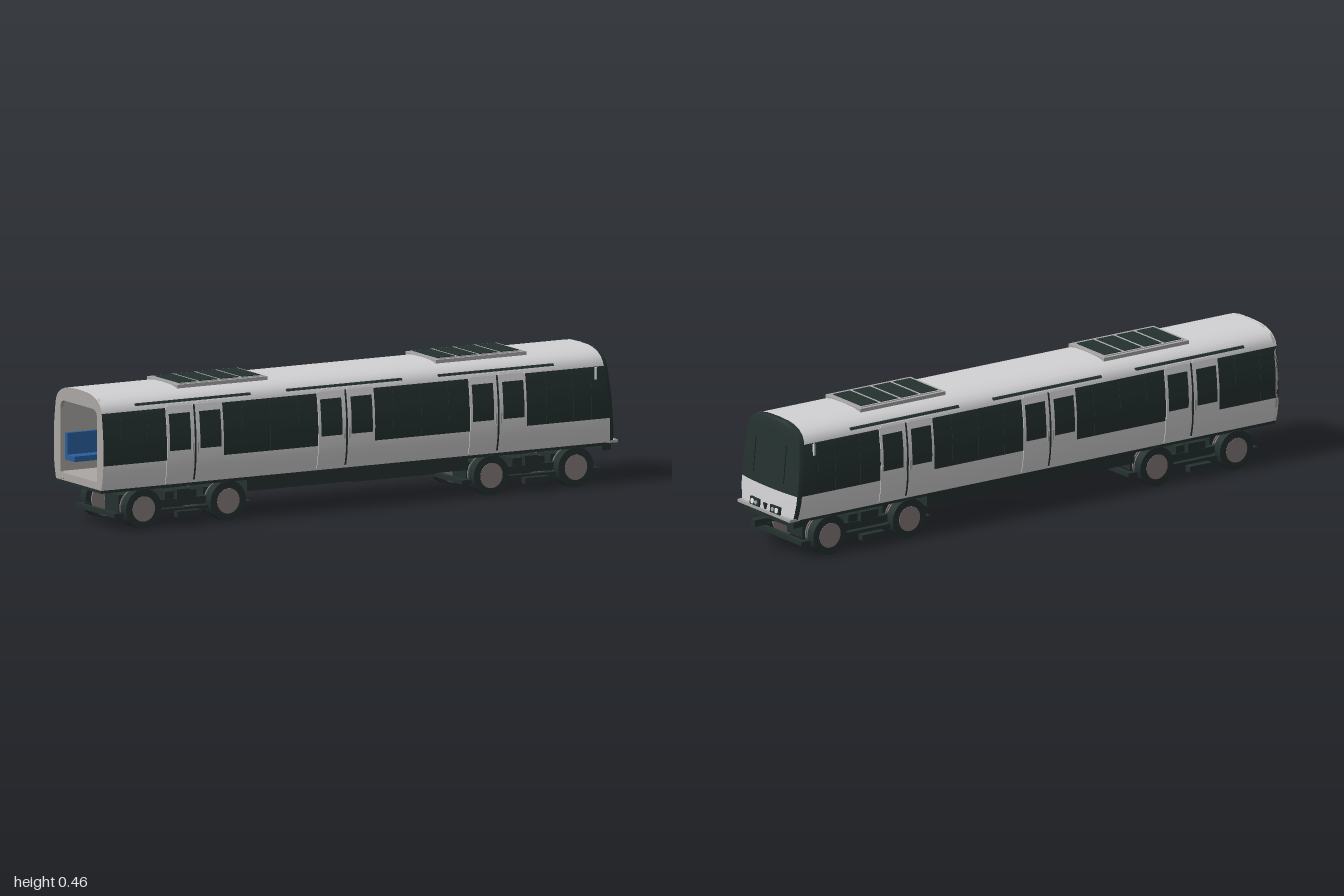
import * as THREE from 'three';

const mat = (name, color, side = THREE.FrontSide) => {
  const m = new THREE.MeshStandardMaterial({ color, side });
  m.name = name;
  return m;
};

// half cross-section of the body, [half width, height], bottom to roof ridge
const HALF = [[0.148, 0.14], [0.155, 0.165], [0.16, 0.195], [0.162, 0.223], [0.163, 0.285], [0.16, 0.33],
  [0.154, 0.375], [0.151, 0.396], [0.146, 0.412], [0.136, 0.426], [0.118, 0.439], [0.09, 0.449], [0.06, 0.454], [0, 0.456]];
const BAND_LOW = 3, BAND_HIGH = 7;
const SECTION = [...HALF, ...HALF.slice(0, -1).reverse().map(([z, y]) => [-z, y])];

function halfWidth(y) {
  let i = 0;
  while (i < HALF.length - 2 && HALF[i + 1][1] < y) i++;
  const [a, b] = [HALF[i], HALF[i + 1]];
  return a[0] + (b[0] - a[0]) * (y - a[1]) / (b[1] - a[1]);
}
const noseEdge = y => 0.925 - 0.095 * (y - 0.14);
const frontX = (y, z) => noseEdge(y) + 0.015 + 0.01 * (1 - (z / 0.16) ** 2);

// surface over a grid of points; each row strip gets its own material index
function gridGeometry(cols, rows, point, materialOf) {
  const pos = [], index = [], geo = new THREE.BufferGeometry();
  for (let r = 0; r < rows; r++) for (let c = 0; c < cols; c++) pos.push(...point(c, r));
  for (let r = 0; r < rows - 1; r++) {
    for (let c = 0; c < cols - 1; c++) {
      const a = r * cols + c, b = a + cols;
      geo.addGroup(index.length, 6, materialOf(r, c));
      index.push(a, a + 1, b + 1, a, b + 1, b);
    }
  }
  geo.setAttribute('position', new THREE.Float32BufferAttribute(pos, 3));
  geo.setIndex(index);
  geo.computeVertexNormals();
  return geo;
}

export function createModel() {
  const model = new THREE.Group();
  model.name = 'railCar';
  const pale = mat('paleBody', 0xd2d2d4);
  const dark = mat('darkGlass', 0x24312f);
  const grey = mat('roofUnitGrey', 0xa9a9a9);
  const steel = mat('wheelSteel', 0x857c7b);
  const blue = mat('seatBlue', 0x2a5f9e);
  const lining = mat('interiorLining', 0xaaa7a4, THREE.DoubleSide);
  const lamp = mat('lampWhite', 0xf2f2ee);

  const add = (name, geo, material, parent = model) => {
    const m = new THREE.Mesh(geo, material);
    m.name = name;
    parent.add(m);
    return m;
  };
  // box given by its limits
  const box = (name, x0, x1, y0, y1, z0, z1, material, parent) => {
    const m = add(name, new THREE.BoxGeometry(x1 - x0, y1 - y0, z1 - z0), material, parent);
    m.position.set((x0 + x1) / 2, (y0 + y1) / 2, (z0 + z1) / 2);
    return m;
  };
  // plate that hugs the curved body side, on both sides
  const sidePlate = (name, x0, x1, y0, y1, proud, material) => {
    for (const s of [1, -1]) {
      const g = new THREE.BoxGeometry(x1 - x0, y1 - y0, 0.006, 1, 10, 1);
      g.translate((x0 + x1) / 2, (y0 + y1) / 2, 0);
      const p = g.attributes.position;
      for (let i = 0; i < p.count; i++) p.setZ(i, p.getZ(i) + s * (halfWidth(p.getY(i)) + proud - 0.003));
      g.computeVertexNormals();
      add(name, g, material);
    }
  };

  // body shell with window band and dark nose rim
  const rings = [-1, -0.5, 0, 0.5, 0.84];
  add('bodyShell', gridGeometry(rings.length + 2, SECTION.length, (c, r) => {
    const [z, y] = SECTION[r];
    if (c < rings.length) return [rings[c], y, z];
    return c === rings.length ? [noseEdge(y), y, z] : [noseEdge(y) + 0.015, y, z * 0.965];
  }, (r, c) => {
    const k = Math.min(r, SECTION.length - 2 - r);
    return c === rings.length || (k >= BAND_LOW && k < BAND_HIGH) ? 1 : 0;
  }), [pale, dark]);

  // slightly bowed front: pale apron below, dark mask above
  add('frontMask', gridGeometry(9, HALF.length, (c, r) => {
    const [w, y] = HALF[r], t = 1 - c / 4;
    return [noseEdge(y) + 0.015 + 0.01 * (1 - t * t) * w / 0.16, y, w * 0.965 * t];
  }, r => (r < BAND_LOW ? 0 : 1)), [pale, dark]);

  // parts on the sloping front
  const onFront = (name, geo, y, z, out, material) => {
    const m = add(name, geo, material);
    m.position.set(frontX(y, z) + out, y, z);
    m.rotation.z = 0.095;
    return m;
  };
  for (const s of [1, -1]) {
    onFront('frontDoorSeam', new THREE.BoxGeometry(0.006, 0.124, 0.003), 0.315, s * 0.085, 0, dark);
    onFront('frontDoorEdge', new THREE.BoxGeometry(0.006, 0.003, 0.17), s > 0 ? 0.377 : 0.253, 0, -0.001, dark);
    onFront('lampHousing', new THREE.BoxGeometry(0.012, 0.026, 0.052), 0.159, s * 0.057, 0, dark);
    const disc = new THREE.CylinderGeometry(0.009, 0.009, 0.004, 16).rotateZ(Math.PI / 2);
    onFront('headlamp', disc, 0.159, s * 0.068, 0.007, lamp);
    onFront('tailLamp', disc.clone().scale(1, 0.75, 0.75), 0.159, s * 0.047, 0.007, grey);
    box('cabHandrail', 0.863, 0.869, 0.355, 0.395, s * 0.158 - 0.003, s * 0.158 + 0.003, pale);
  }
  onFront('frontSocket', new THREE.CylinderGeometry(0.01, 0.004, 0.02, 8), 0.158, 0, 0, dark);
  box('frontSill', 0.915, 0.957, 0.137, 0.146, -0.148, 0.148, grey);

  // doors: two leaves with windows, centre seal and overhead rail
  for (const cx of [-0.653, -0.08, 0.494]) {
    for (const s of [1, -1]) {
      const span = (a, b) => [cx + Math.min(s * a, s * b), cx + Math.max(s * a, s * b)];
      sidePlate('doorLeaf', ...span(0.002, 0.107), 0.146, 0.4, 0.003, pale);
      sidePlate('doorLeafTop', ...span(0.008, 0.098), 0.4, 0.408, 0.003, pale);
      sidePlate('doorWindow', ...span(0.018, 0.097), 0.254, 0.376, 0.0045, dark);
      sidePlate('doorHandle', ...span(0.006, 0.012), 0.24, 0.275, 0.006, grey);
    }
    sidePlate('doorSeal', cx - 0.003, cx + 0.003, 0.15, 0.4, 0.004, dark);
    sidePlate('doorRail', cx - 0.218, cx + 0.218, 0.412, 0.419, 0.006, dark);
  }
  // window pillars
  for (const x of [-0.93, -0.83, -0.47, -0.365, -0.26, 0.1, 0.205, 0.31, 0.68, 0.78, 0.85])
    sidePlate('windowPillar', x - 0.002, x + 0.002, 0.226, 0.394, 0.0015, dark);

  // roof units with four grilles each
  for (const cx of [-0.513, 0.466]) {
    box('roofUnit', cx - 0.171, cx + 0.171, 0.447, 0.459, -0.1, 0.1, grey);
    box('roofUnitLid', cx - 0.16, cx + 0.16, 0.459, 0.461, -0.088, 0.088, grey);
    for (let i = 0; i < 4; i++) {
      const x = cx + (i - 1.5) * 0.0805;
      box('roofGrille', x - 0.034, x + 0.034, 0.458, 0.463, -0.079, 0.079, dark);
    }
  }

  // open rear end wall
  const wall = new THREE.Shape(SECTION.map(([z, y]) => new THREE.Vector2(z, y)));
  const gap = new THREE.Path();
  gap.moveTo(-0.12, 0.165).lineTo(0.12, 0.165).lineTo(0.12, 0.375);
  gap.quadraticCurveTo(0.12, 0.405, 0.09, 0.405).lineTo(-0.09, 0.405);
  gap.quadraticCurveTo(-0.12, 0.405, -0.12, 0.375).lineTo(-0.12, 0.165);
  wall.holes.push(gap);
  const end = add('rearEndWall', new THREE.ExtrudeGeometry(wall, { depth: 0.012, bevelEnabled: false }), lining);
  end.rotation.y = -Math.PI / 2;
  end.position.x = -0.988;

  // cabin interior
  box('cabinFloor', -0.99, 0.85, 0.155, 0.163, -0.146, 0.146, lining);
  box('cabinCeiling', -0.99, 0.85, 0.41, 0.415, -0.14, 0.14, lining);
  box('cabBulkhead', 0.84, 0.85, 0.16, 0.41, -0.143, 0.143, lining);
  for (const s of [1, -1]) {
    box('cabinWall', -0.99, 0.85, 0.16, 0.41, s * 0.143 - 0.002, s * 0.143 + 0.002, lining);
    for (const [a, b] of [[-0.97, -0.78], [-0.53, -0.2], [0.04, 0.37], [0.62, 0.82]]) {
      box('seatBench', a, b, 0.2, 0.218, s * 0.11 - 0.03, s * 0.11 + 0.03, blue);
      box('seatBack', a, b, 0.218, 0.29, s * 0.133 - 0.007, s * 0.133 + 0.007, blue);
    }
  }

  // underframe, equipment and coupler
  box('underfloor', -1, 0.925, 0.13, 0.145, -0.146, 0.146, dark);
  box('equipmentCase', -0.44, 0.395, 0.09, 0.132, -0.135, 0.135, dark);
  box('lowerEquipment', -0.016, 0.305, 0.076, 0.092, -0.08, 0.08, dark);
  box('frontBeam', 0.9, 0.935, 0.112, 0.133, -0.14, 0.14, dark);
  box('couplerBar', 0.89, 0.96, 0.103, 0.115, -0.008, 0.008, dark);
  box('couplerHead', 0.95, 1, 0.098, 0.12, -0.0135, 0.0135, dark);

  // bogies
  const roller = (name, r, width, x, z, material, parent) => {
    const m = add(name, new THREE.CylinderGeometry(r, r, width, 32).rotateX(Math.PI / 2), material, parent);
    m.position.set(x, 0.067, z);
  };
  for (const cx of [-0.68, 0.636]) {
    const bogie = new THREE.Group();
    bogie.name = 'bogie';
    bogie.position.x = cx;
    model.add(bogie);
    box('bogieBolster', -0.06, 0.06, 0.075, 0.11, -0.115, 0.115, dark, bogie);
    box('bogiePivot', -0.035, 0.035, 0.1, 0.132, -0.05, 0.05, dark, bogie);
    for (const s of [1, -1]) {
      box('bogieSideFrame', -0.2, 0.2, 0.06, 0.085, s * 0.108 - 0.01, s * 0.108 + 0.01, dark, bogie);
      box('guideBar', -0.26, 0.26, 0.042, 0.056, s * 0.12 - 0.01, s * 0.12 + 0.01, dark, bogie);
      box('suspension', -0.025, 0.025, 0.085, 0.118, s * 0.12 - 0.015, s * 0.12 + 0.015, dark, bogie);
      box('contactShoe', -0.045, 0.045, 0.032, 0.052, s * 0.161 - 0.012, s * 0.161 + 0.012, dark, bogie);
      box('endCrossbar', s * 0.25 - 0.01, s * 0.25 + 0.01, 0.042, 0.056, -0.13, 0.13, dark, bogie);
      const wx = s * 0.16;
      roller('axle', 0.011, 0.24, wx, 0, steel, bogie);
      box('axleMotor', wx - 0.035, wx + 0.035, 0.036, 0.1, -0.045, 0.045, dark, bogie);
      for (const t of [1, -1]) {
        roller('tyre', 0.067, 0.034, wx, t * 0.1325, dark, bogie);
        roller('wheelHub', 0.042, 0.037, wx, t * 0.1325, steel, bogie);
        roller('safetyWheel', 0.053, 0.012, wx, t * 0.098, steel, bogie);
        roller('safetyFlange', 0.058, 0.004, wx, t * 0.092, steel, bogie);
        box('axleBox', wx - 0.02, wx + 0.02, 0.054, 0.086, t * 0.107 - 0.011, t * 0.107 + 0.011, dark, bogie);
      }
    }
  }
  return model;
}
